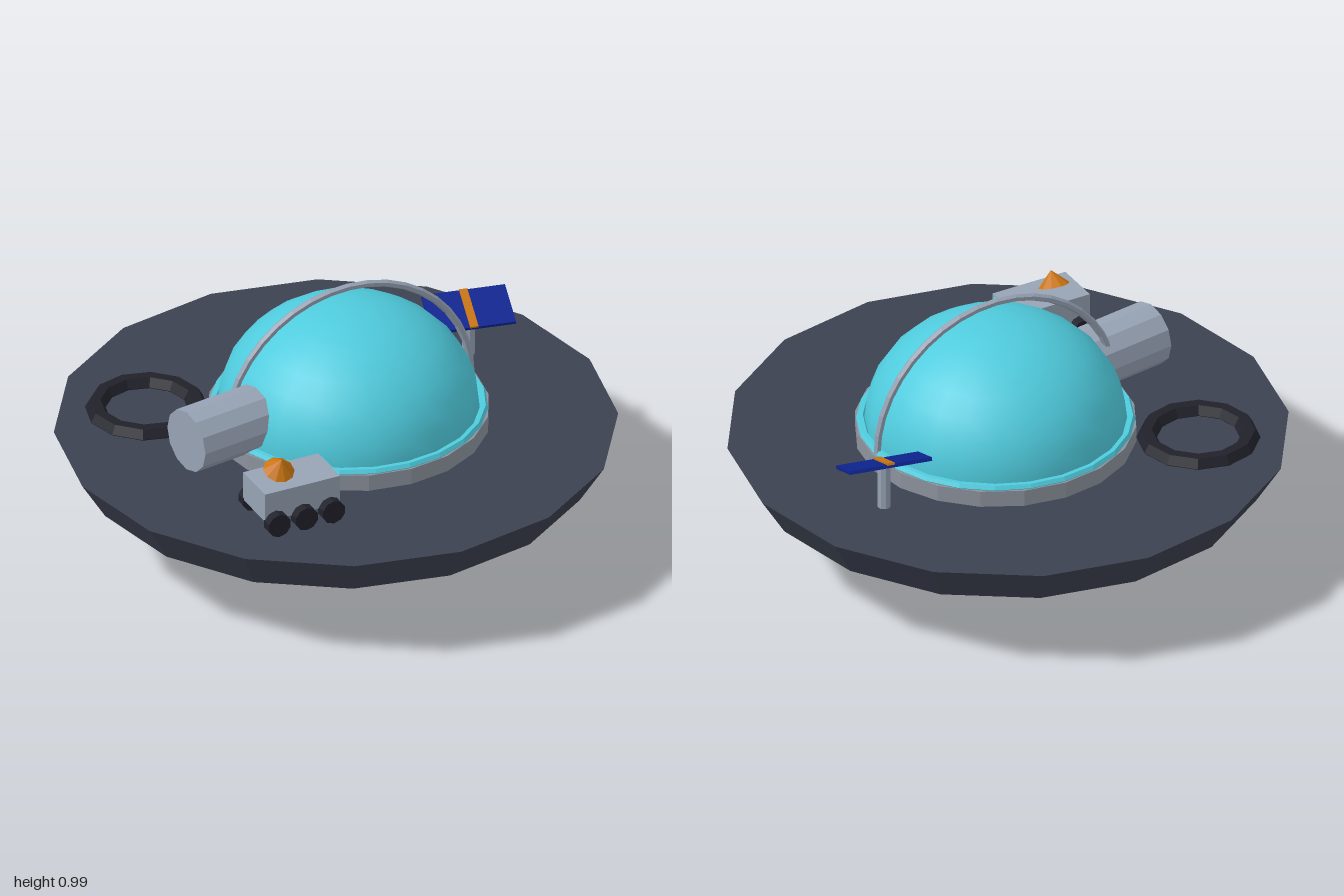
import * as THREE from 'three';

const mat = (name, color, flatShading = true) =>
  Object.assign(new THREE.MeshStandardMaterial({ color, flatShading }), { name });

export function createModel() {
  const model = new THREE.Group();
  model.name = 'domeOutpost';

  const slate = mat('slate', 0x3c4150);
  const glass = mat('cyanGlass', 0x4fcbdd, false);
  const trim = mat('cyanTrim', 0x4fcbdd);
  const steel = mat('steel', 0x97a3b5);
  const stone = mat('ringGrey', 0x8c929d);
  const rubber = mat('rubber', 0x20212a);
  const navy = mat('solarBlue', 0x0d2490);
  const orange = mat('orange', 0xc97512);

  const add = (name, geometry, material, x = 0, y = 0, z = 0, parent = model) => {
    const mesh = new THREE.Mesh(geometry, material);
    mesh.name = name;
    mesh.position.set(x, y, z);
    parent.add(mesh);
    return mesh;
  };
  const box = (w, h, d) => new THREE.BoxGeometry(w, h, d);
  const cyl = (rTop, rBottom, h, sides) => new THREE.CylinderGeometry(rTop, rBottom, h, sides);

  // Ground disc
  add('groundDisc', cyl(1, 0.91, 0.145, 16), slate, 0, 0.3625, 0);

  // Flattened dome with its footing, rim and hoop
  const cx = 0.05;
  add('dome', new THREE.SphereGeometry(0.465, 24, 16), glass, cx, 0.5, 0).scale.y = 0.845;
  add('domeFooting', cyl(0.5, 0.5, 0.07, 20), stone, cx, 0.462, 0);
  add('domeRim', new THREE.TorusGeometry(0.478, 0.016, 6, 24), trim, cx, 0.5, 0).rotation.x = Math.PI / 2;
  add('hoop', new THREE.TorusGeometry(0.483, 0.014, 6, 40), steel, cx, 0.497, 0);

  // Airlock tunnel aimed at the dome's centre
  const airlock = new THREE.Group();
  airlock.name = 'airlock';
  airlock.position.set(-0.495, 0.587, 0.085);
  airlock.rotation.y = 0.155;
  model.add(airlock);
  add('airlockTunnel', cyl(0.117, 0.117, 0.3, 12), steel, 0, 0, 0, airlock).rotation.z = Math.PI / 2;

  // Rover: body, windscreen, tilted dish and six wheels
  const rover = new THREE.Group();
  rover.name = 'rover';
  rover.position.set(-0.424, 0, 0.505);
  model.add(rover);
  add('roverBody', box(0.296, 0.112, 0.175), steel, 0, 0.547, 0, rover);
  add('roverWindow', box(0.008, 0.06, 0.145), trim, 0.15, 0.567, 0, rover);
  add('roverDish', new THREE.ConeGeometry(0.057, 0.056, 10), orange, -0.047, 0.654, 0.003, rover).rotation.x = 0.4;
  for (const side of [-1, 1]) {
    for (const x of [-0.107, 0, 0.107]) {
      add('wheel', cyl(0.045, 0.045, 0.04, 10), rubber, x, 0.482, side * 0.102, rover).rotation.x = Math.PI / 2;
    }
  }

  // Low ring lying on the ground
  add('groundRing', new THREE.TorusGeometry(0.183, 0.037, 6, 12), rubber, -0.558, 0.438, -0.38).rotation.x = Math.PI / 2;

  // Solar panel, turned and tilted on a post
  const solar = new THREE.Group();
  solar.name = 'solarPanel';
  solar.position.set(0.636, 0, -0.23);
  solar.rotation.y = -0.2;
  model.add(solar);
  add('panelPost', cyl(0.024, 0.024, 0.175, 8), steel, 0, 0.515, 0, solar);
  const panel = new THREE.Group();
  panel.name = 'panel';
  panel.position.y = 0.612;
  panel.rotation.x = 0.4;
  solar.add(panel);
  add('panelCells', box(0.306, 0.013, 0.168), navy, 0, 0, 0, panel);
  add('panelStripe', box(0.03, 0.008, 0.17), orange, 0, 0.007, 0, panel);

  return model;
}
